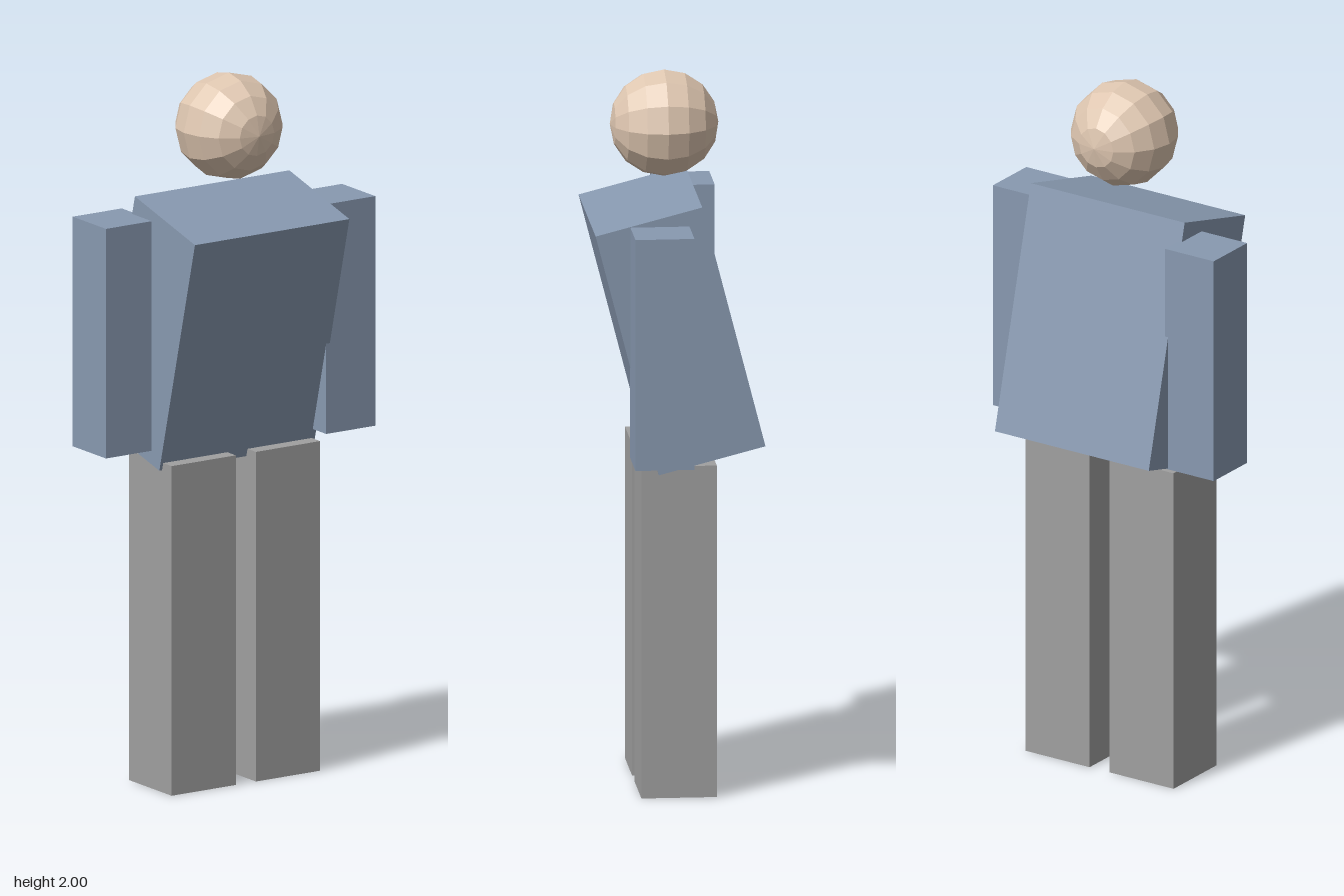
import * as THREE from 'three';

function material(name, color) {
  const m = new THREE.MeshStandardMaterial({ color, flatShading: true });
  m.name = name;
  return m;
}

export function createModel() {
  const model = new THREE.Group();
  model.name = 'blockFigure';
  const shirt = material('shirt blue', 0x8899b0);
  const trousers = material('trouser grey', 0xa0a0a0);
  const skin = material('skin', 0xdec6b0);

  function add(name, geometry, mat, x, y, z) {
    const mesh = new THREE.Mesh(geometry, mat);
    mesh.name = name;
    mesh.position.set(x, y, z);
    model.add(mesh);
    return mesh;
  }

  // Head: faceted ball with its poles at front and back
  const ball = new THREE.SphereGeometry(0.15, 12, 8).rotateX(Math.PI / 2);
  add('head', ball, skin, 0, 1.85, 0.022);

  // Torso leaning forward
  const torso = new THREE.BoxGeometry(0.513, 0.7, 0.304);
  add('torso', torso, shirt, 0, 1.291, 0).rotation.x = 0.252;

  // Upright arms, the left one further forward
  const arm = new THREE.BoxGeometry(0.163, 0.652, 0.163);
  add('leftArm', arm, shirt, 0.326, 1.289, 0.057);
  add('rightArm', arm, shirt, -0.327, 1.289, -0.059);

  // Legs
  const leg = new THREE.BoxGeometry(0.213, 0.936, 0.208);
  add('leftLeg', leg, trousers, 0.139, 0.468, 0.003);
  add('rightLeg', leg, trousers, -0.141, 0.468, 0.003);

  return model;
}
